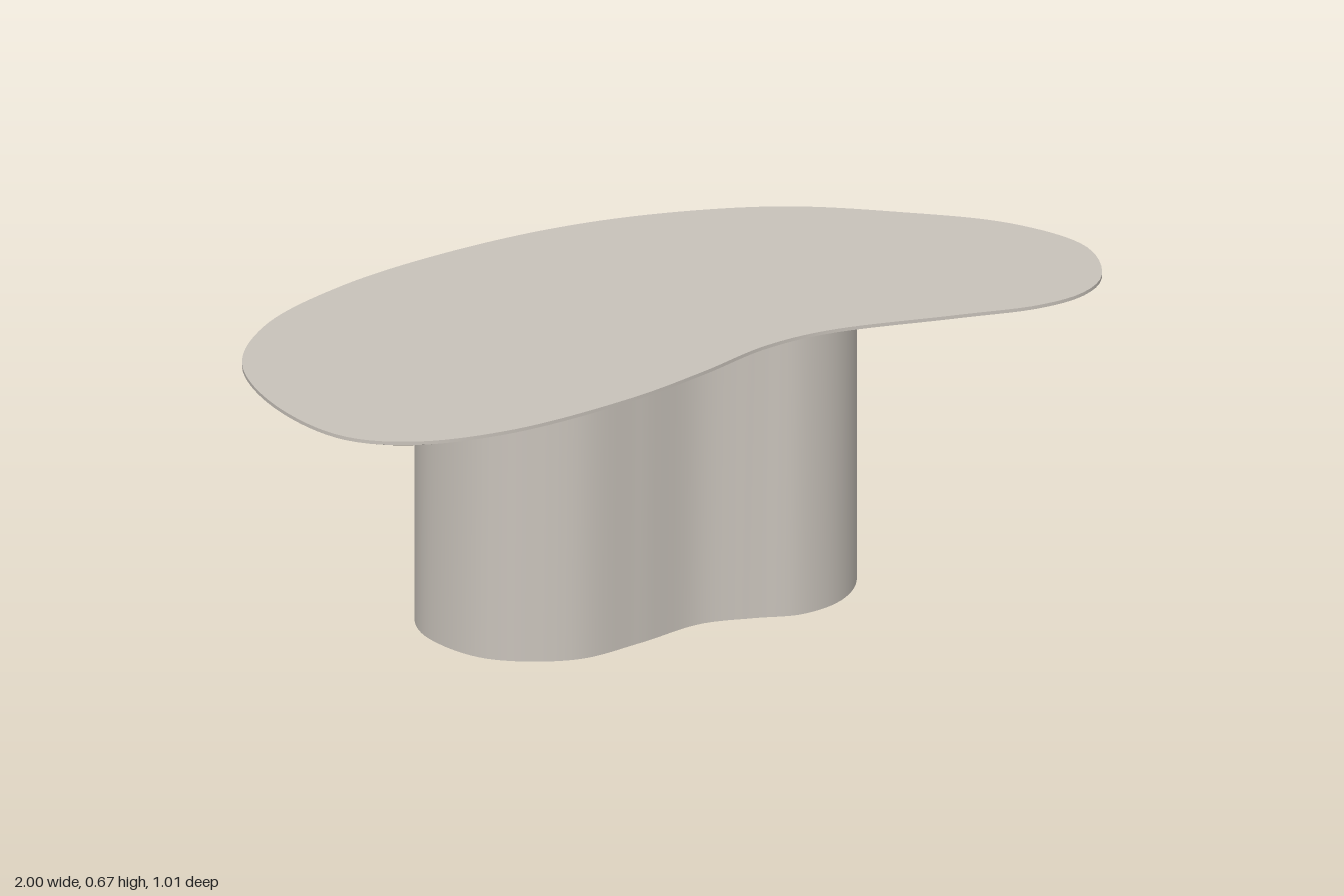
import * as THREE from 'three';
import { mergeGeometries } from 'three/addons/utils/BufferGeometryUtils.js';

// Smooth closed outline in plan (x, z), running left, back, right, front
function outline(points, samples) {
  const curve = new THREE.CatmullRomCurve3(
    points.map(([x, z]) => new THREE.Vector3(x, 0, z)), true, 'centripetal');
  return curve.getSpacedPoints(samples).slice(0, samples).map((p) => new THREE.Vector2(p.x, p.z));
}

// Move an outline inwards along its normals
function inset(ring, distance) {
  const n = ring.length;
  return ring.map((p, i) => {
    const t = ring[(i + 1) % n].clone().sub(ring[(i + n - 1) % n]).normalize();
    return new THREE.Vector2(p.x - t.y * distance, p.y + t.x * distance);
  });
}

function buildGeometry(positions, index) {
  const g = new THREE.BufferGeometry();
  g.setAttribute('position', new THREE.Float32BufferAttribute(positions, 3));
  g.setIndex(index);
  g.computeVertexNormals();
  return g;
}

// Wall between two rings, smooth around and sharp at its rims
function band(low, yLow, high, yHigh) {
  const n = low.length, positions = [], index = [];
  for (let i = 0; i < n; i++) {
    positions.push(low[i].x, yLow, low[i].y, high[i].x, yHigh, high[i].y);
    const a = 2 * i, b = 2 * ((i + 1) % n);
    index.push(a, a + 1, b, b, a + 1, b + 1);
  }
  return buildGeometry(positions, index);
}

// Flat face filling a ring, facing up (1) or down (-1)
function cap(ring, y, facing) {
  const positions = ring.flatMap((p) => [p.x, y, p.y]);
  const index = [];
  for (const [a, b, c] of THREE.ShapeUtils.triangulateShape(ring, [])) {
    const ab = ring[b].clone().sub(ring[a]), ac = ring[c].clone().sub(ring[a]);
    const up = -ab.cross(ac);
    if (up * facing > 0) index.push(a, b, c);
    else index.push(a, c, b);
  }
  return buildGeometry(positions, index);
}

// Solid from stacked levels of { ring, y }, bottom to top
function stack(levels) {
  const last = levels[levels.length - 1];
  const parts = [cap(levels[0].ring, levels[0].y, -1), cap(last.ring, last.y, 1)];
  for (let i = 1; i < levels.length; i++) {
    const l = levels[i - 1], h = levels[i];
    parts.push(band(l.ring, l.y, h.ring, h.y));
  }
  return mergeGeometries(parts);
}

export function createModel() {
  const group = new THREE.Group();
  group.name = 'coffeeTable';
  const stone = new THREE.MeshStandardMaterial({ color: 0xc8c2ba });
  stone.name = 'warm grey stone';

  // Kidney-shaped top with a thin edge and a wide undercut chamfer
  const topRing = outline([
    [-1, 0.16], [-0.957, -0.107], [-0.8, -0.294], [-0.556, -0.417], [-0.29, -0.483],
    [0, -0.508], [0.246, -0.482], [0.513, -0.396], [0.727, -0.25], [0.914, -0.08],
    [0.999, 0.11], [0.952, 0.283], [0.87, 0.353], [0.754, 0.374], [0.567, 0.345],
    [0.273, 0.297], [0.112, 0.315], [-0.075, 0.387], [-0.289, 0.455], [-0.61, 0.502],
    [-0.824, 0.468], [-0.947, 0.374],
  ], 180);
  const top = new THREE.Mesh(stack([
    { ring: inset(topRing, 0.078), y: 0.628 },
    { ring: topRing, y: 0.66 },
    { ring: topRing, y: 0.668 },
  ]), stone);
  top.name = 'tableTop';
  group.add(top);

  // Two-lobed pedestal, running up into the chamfer of the top
  const baseRing = outline([
    [-0.568, 0.03], [-0.55, -0.075], [-0.485, -0.165], [-0.36, -0.217], [-0.22, -0.195],
    [-0.08, -0.175], [0.06, -0.215], [0.2, -0.245], [0.35, -0.2], [0.437, -0.1],
    [0.46, 0.03], [0.41, 0.165], [0.325, 0.245], [0.22, 0.272], [0.12, 0.245],
    [0, 0.222], [-0.17, 0.262], [-0.34, 0.284], [-0.51, 0.19],
  ], 140);
  const base = new THREE.Mesh(stack([
    { ring: baseRing, y: 0 },
    { ring: baseRing, y: 0.655 },
  ]), stone);
  base.name = 'pedestal';
  group.add(base);

  return group;
}
